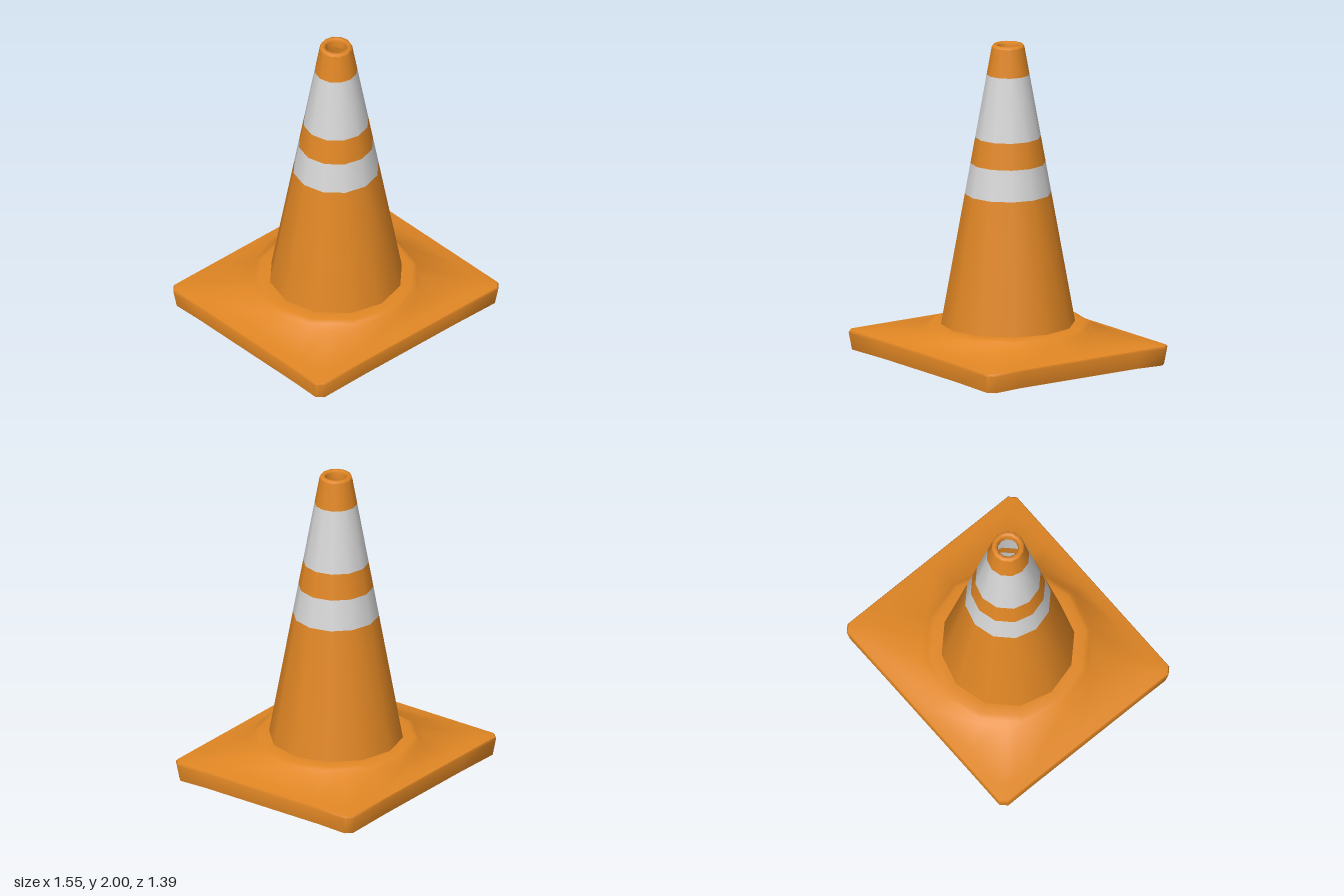
import * as THREE from 'three';
import { toCreasedNormals } from 'three/addons/utils/BufferGeometryUtils.js';

const orange = new THREE.MeshStandardMaterial({ color: 0xe08624, side: THREE.DoubleSide });
orange.name = 'orange plastic';
const white = new THREE.MeshStandardMaterial({ color: 0xd6d6d6, side: THREE.DoubleSide });
white.name = 'reflective white';

const SIDES = 12;
const T30 = Math.tan(Math.PI / 6);

// Mirror the five points of one quadrant round the whole loop (20 points).
function fullLoop(q, y, midY = y) {
  const mirror = (p, sx, sz) => [p[0] * sx, p[2] ?? y, p[1] * sz];
  q = q.map(([x, z], i) => [x, z, i === 2 || i === 3 ? y : midY]);
  const end = [0, q.end ?? q[4][1], midY];
  const back = [...q.slice(1)].reverse();
  return [
    ...q.map(p => mirror(p, 1, 1)), mirror(end, 1, 1),
    ...back.map(p => mirror(p, -1, 1)), mirror(q[0], -1, 1),
    ...q.slice(1).map(p => mirror(p, -1, -1)), mirror(end, 1, -1),
    ...back.map(p => mirror(p, 1, -1)),
  ];
}

// Rectangle with cut corners.
function rectLoop(a, b, y, midY = y) {
  const c = 0.04;
  return fullLoop([[a, 0], [a, a * T30], [a, b - c], [a - c, b], [b * T30, b]], y, midY);
}

// Twelve-sided ring; the two extra corner points lie on its diagonal edge.
function ringLoop(r, y) {
  const p1 = [r * Math.cos(Math.PI / 6), r / 2], p2 = [r / 2, r * Math.cos(Math.PI / 6)];
  const mix = k => [p1[0] + (p2[0] - p1[0]) * k, p1[1] + (p2[1] - p1[1]) * k];
  const loop = fullLoop([[r, 0], p1, mix(0.35), mix(0.47), p2], y);
  // Push the front and back points out to the full radius.
  for (const p of loop) if (Math.abs(p[0]) < 1e-9) p[2] = Math.sign(p[2]) * r;
  return loop;
}

// Skin a stack of equal-length loops.
function loft(loops) {
  const n = loops[0].length, index = [];
  for (let j = 0; j < loops.length - 1; j++) {
    for (let i = 0; i < n; i++) {
      const a = j * n + i, b = j * n + (i + 1) % n;
      index.push(a, a + n, b, b, a + n, b + n);
    }
  }
  const g = new THREE.BufferGeometry();
  g.setAttribute('position', new THREE.Float32BufferAttribute(loops.flat(2), 3));
  g.setIndex(index);
  return toCreasedNormals(g, 0.9);
}

// Cone wall radius at a given height.
const coneRadius = y => 0.42 - 0.32 * (y - 0.22) / 1.78;

export function createModel() {
  const model = new THREE.Group();
  model.name = 'trafficCone';
  const add = (name, geometry, material) => {
    const mesh = new THREE.Mesh(geometry, material);
    mesh.name = name;
    model.add(mesh);
  };
  const lathe = pts => new THREE.LatheGeometry(pts.map(p => new THREE.Vector2(...p)), SIDES);

  // Hollow base: skirt, sloping top and raised collar.
  add('base', loft([
    rectLoop(0.76, 0.68, 0, 0.006),
    rectLoop(0.775, 0.695, 0.11),
    rectLoop(0.77, 0.69, 0.122),
    rectLoop(0.70, 0.62, 0.133),
    ringLoop(0.55, 0.175),
    ringLoop(0.52, 0.208),
    ringLoop(0.49, 0.22),
    ringLoop(0.42, 0.22),
  ]), orange);

  // Cone wall in plain and reflective bands.
  const bands = [
    ['lowerCone', 0.22, 1.05, orange],
    ['lowerStripe', 1.05, 1.245, white],
    ['middleCone', 1.245, 1.41, orange],
    ['upperStripe', 1.41, 1.81, white],
    ['upperCone', 1.81, 1.985, orange],
  ];
  for (const [name, y0, y1, material] of bands) {
    add(name, lathe([[coneRadius(y0), y0], [coneRadius(y1), y1]]), material);
  }

  // Rolled lip around the open top.
  add('topLip', lathe([[coneRadius(1.985), 1.985], [0.095, 2], [0.075, 2], [0.066, 1.985], [0.065, 1.94]]), orange);

  return model;
}
